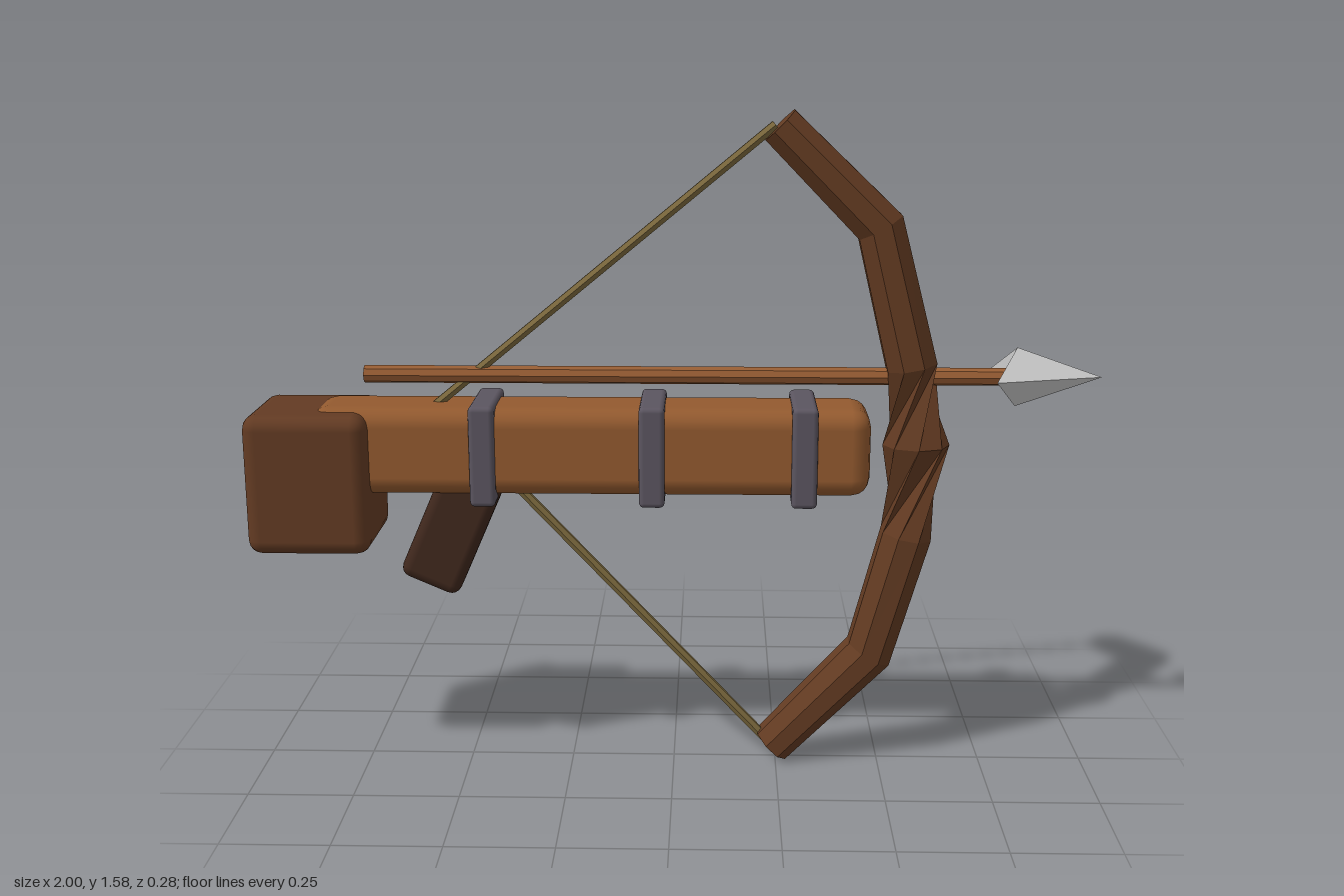
import * as THREE from 'three';
import { RoundedBoxGeometry } from 'three/addons/geometries/RoundedBoxGeometry.js';

const mat = (color, flatShading = false) => new THREE.MeshStandardMaterial({ color, flatShading });
const WOOD = mat(0x935a2f), DARK_WOOD = mat(0x633b23), GRIP = mat(0x40281d), IRON = mat(0x5b5560);
const BOW = mat(0x633b22, true), SHAFT = mat(0x965c33, true), CORD = mat(0x7d6a3e, true), STEEL = mat(0xc4c8c4, true);

export function createModel() {
  const model = new THREE.Group();
  model.name = 'crossbow';

  const add = (name, geometry, material, x = 0, y = 0, z = 0) => {
    const mesh = new THREE.Mesh(geometry, material);
    mesh.name = name;
    mesh.position.set(x, y, z);
    model.add(mesh);
    return mesh;
  };
  // Thin rod between two points in the middle plane
  const rod = (name, a, b, radius, sides, material) => {
    const from = new THREE.Vector3(...a, 0), to = new THREE.Vector3(...b, 0);
    const dir = to.clone().sub(from);
    const mesh = add(name, new THREE.CylinderGeometry(radius, radius, dir.length(), sides), material);
    mesh.position.copy(from).add(to).multiplyScalar(0.5);
    mesh.quaternion.setFromUnitVectors(new THREE.Vector3(0, 1, 0), dir.normalize());
  };
  // Indexed shell from flat position and index lists
  const shell = (pos, idx) => {
    const g = new THREE.BufferGeometry();
    g.setAttribute('position', new THREE.Float32BufferAttribute(pos, 3));
    g.setIndex(idx);
    const flat = g.toNonIndexed();
    flat.computeVertexNormals();
    return flat;
  };

  // Stock, butt and slanted grip
  add('stock', new RoundedBoxGeometry(1.31, 0.21, 0.195, 2, 0.045), WOOD, -0.195, 0.795);
  add('butt', new RoundedBoxGeometry(0.29, 0.335, 0.28, 2, 0.035), DARK_WOOD, -0.855, 0.722);
  add('grip', new RoundedBoxGeometry(0.15, 0.36, 0.14, 2, 0.025), GRIP, -0.517, 0.625).rotation.z = -0.41;

  // Iron bands around the stock
  for (const x of [-0.445, -0.05, 0.305]) {
    add('band', new RoundedBoxGeometry(0.06, 0.24, 0.225, 2, 0.012), IRON, x, 0.79);
  }

  // Bow: octagonal sections [x, y, half depth, half width, twist] from the lower to the upper tip
  const rings = [
    [0.24, 0.035, 0.047, 0.054, 0],
    [0.473, 0.28, 0.056, 0.06, 0],
    [0.555, 0.58, 0.058, 0.066, 0],
    [0.572, 0.8, 0.073, 0.062, -1.5],
    [0.555, 0.99, 0.058, 0.066, -3],
    [0.473, 1.315, 0.056, 0.06, -3],
    [0.24, 1.545, 0.047, 0.054, -3],
  ];
  const pos = [], idx = [], N = 8, last = rings.length - 1;
  rings.forEach(([x, y, depth, width, twist], i) => {
    const p = rings[Math.max(i - 1, 0)], q = rings[Math.min(i + 1, last)];
    const t = new THREE.Vector2(q[0] - p[0], q[1] - p[1]).normalize();
    const k = 1 / Math.cos(Math.PI / N);
    for (let j = 0; j < N; j++) {
      const a = (j + 0.5 + twist) * Math.PI * 2 / N;
      const out = Math.cos(a) * depth * k;
      pos.push(x + t.y * out, y - t.x * out, Math.sin(a) * width * k);
      if (i < last) {
        const c = i * N + j, d = i * N + (j + 1) % N;
        idx.push(c, c + N, d, d, c + N, d + N);
      }
    }
  });
  for (let j = 1; j < N - 1; j++) {
    idx.push(0, j, j + 1, last * N, last * N + j + 1, last * N + j);
  }
  add('bow', shell(pos, idx), BOW);

  // Drawn string
  rod('upperString', [0.23, 1.545], [-0.565, 0.89], 0.012, 6, CORD);
  rod('lowerString', [0.225, 0.05], [-0.555, 0.885], 0.012, 6, CORD);

  // Bolt with a four-sided barbed head
  rod('boltShaft', [-0.73, 0.965], [0.81, 0.965], 0.021, 8, SHAFT);
  const head = [0.2, 0, 0, 0, 0.07, 0, -0.055, 0, 0.073, 0, -0.07, 0, -0.055, 0, -0.073];
  add('boltHead', shell(head, [0, 1, 2, 0, 2, 3, 0, 3, 4, 0, 4, 1, 1, 3, 2, 1, 4, 3]), STEEL, 0.8, 0.965);

  return model;
}
